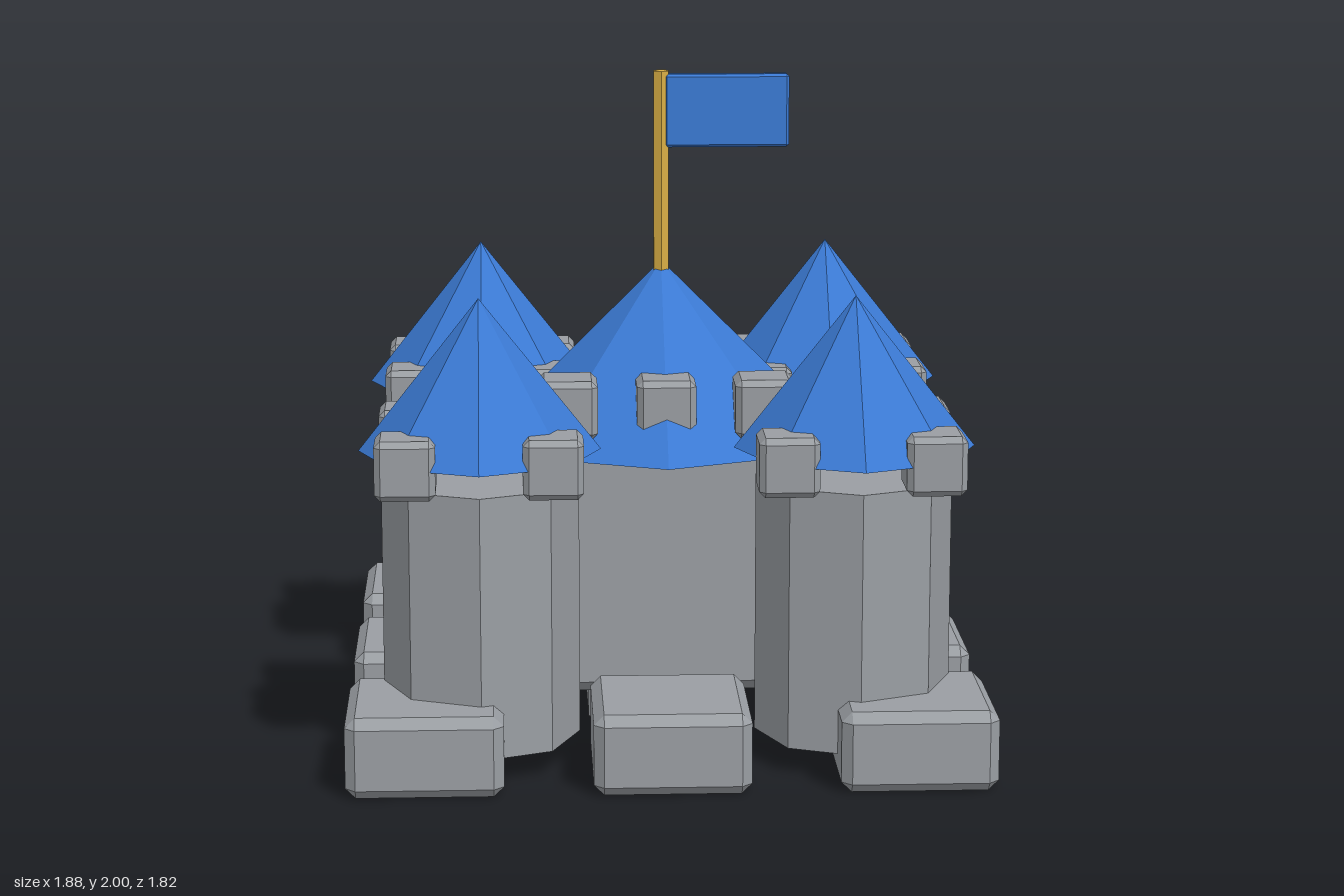
import * as THREE from 'three';
import { ConvexGeometry } from 'three/addons/geometries/ConvexGeometry.js';

const mat = (color) => new THREE.MeshStandardMaterial({ color, flatShading: true });

// Box with cut edges, given by its full size and bevel width
function bevelBox(w, h, d, b) {
  const points = [];
  for (const x of [-0.5, 0.5]) for (const y of [-0.5, 0.5]) for (const z of [-0.5, 0.5]) {
    const c = new THREE.Vector3(x * w, y * h, z * d);
    const s = new THREE.Vector3(x, y, z).multiplyScalar(2 * b);
    points.push(
      new THREE.Vector3(c.x, c.y - s.y, c.z - s.z),
      new THREE.Vector3(c.x - s.x, c.y, c.z - s.z),
      new THREE.Vector3(c.x - s.x, c.y - s.y, c.z));
  }
  return new ConvexGeometry(points);
}

export function createModel() {
  const castle = new THREE.Group();
  castle.name = 'castle';
  const stone = mat(0x9a9ea3), blue = mat(0x3b7ad4), wood = mat(0x80502c), gold = mat(0xd9ae45);

  const add = (parent, name, geometry, material, x, y, z) => {
    const mesh = new THREE.Mesh(geometry, material);
    mesh.name = name;
    mesh.position.set(x, y, z);
    parent.add(mesh);
    return mesh;
  };

  // Foundation: three by three stone blocks
  const blockGeo = bevelBox(0.457, 0.24, 0.457, 0.03);
  for (const i of [-1, 0, 1]) for (const k of [-1, 0, 1]) {
    add(castle, 'foundationBlock', blockGeo, stone, i * 0.714, 0.123, k * 0.681);
  }

  // Keep with its roof and front battlements
  add(castle, 'keep', bevelBox(0.91, 0.75, 0.85, 0.035), stone, 0, 0.555, 0.03);
  add(castle, 'keepRoof', new THREE.ConeGeometry(0.53, 0.53, 8), blue, 0, 1.16, 0.06);
  const merlonGeo = bevelBox(0.175, 0.175, 0.175, 0.018);
  for (const x of [-0.29, 0, 0.29]) add(castle, 'keepMerlon', merlonGeo, stone, x, 1.043, 0.38);

  // Corner towers
  const wallGeo = new THREE.CylinderGeometry(0.29, 0.29, 0.78, 8);
  const roofGeo = new THREE.ConeGeometry(0.355, 0.45, 8);
  for (const sx of [-1, 1]) for (const z of [-0.52, 0.497]) {
    const tower = new THREE.Group();
    tower.name = 'tower';
    tower.position.set(sx * 0.55, 0, z);
    add(tower, 'towerWall', wallGeo, stone, 0, 0.47, 0);
    add(tower, 'towerRoof', roofGeo, blue, 0, 1.165, 0);
    for (const mx of [-1, 1]) for (const mz of [-1, 1]) {
      add(tower, 'towerMerlon', merlonGeo, stone, mx * 0.212, 0.941, mz * 0.212);
    }
    castle.add(tower);
  }

  // Gate in the back wall
  const gate = new THREE.Group();
  gate.name = 'gate';
  add(gate, 'door', bevelBox(0.53, 0.52, 0.13, 0.01), wood, 0, 0.32, -0.445);
  add(gate, 'lintel', bevelBox(0.55, 0.06, 0.15, 0.015), wood, 0, 0.6, -0.455);
  add(gate, 'doorStrip', new THREE.BoxGeometry(0.025, 0.46, 0.05), gold, 0, 0.33, -0.523);
  castle.add(gate);

  // Flag on a six-sided pole
  add(castle, 'flagPole', new THREE.CylinderGeometry(0.026, 0.026, 0.62, 6), gold, 0, 1.69, 0.062);
  add(castle, 'flag', bevelBox(0.375, 0.22, 0.042, 0.008), blue, 0.197, 1.88, 0.062);

  // Thin pointed fin standing out of the back of the flag
  const fin = new THREE.Shape([
    new THREE.Vector2(0, -0.06), new THREE.Vector2(0.064, 0), new THREE.Vector2(0, 0.06)]);
  const finMat = mat(0xd9ae45);
  finMat.side = THREE.DoubleSide;
  const finMesh = add(castle, 'flagFin', new THREE.ShapeGeometry(fin), finMat, 0.19, 1.88, 0.045);
  finMesh.rotation.y = Math.PI / 4;

  return castle;
}
